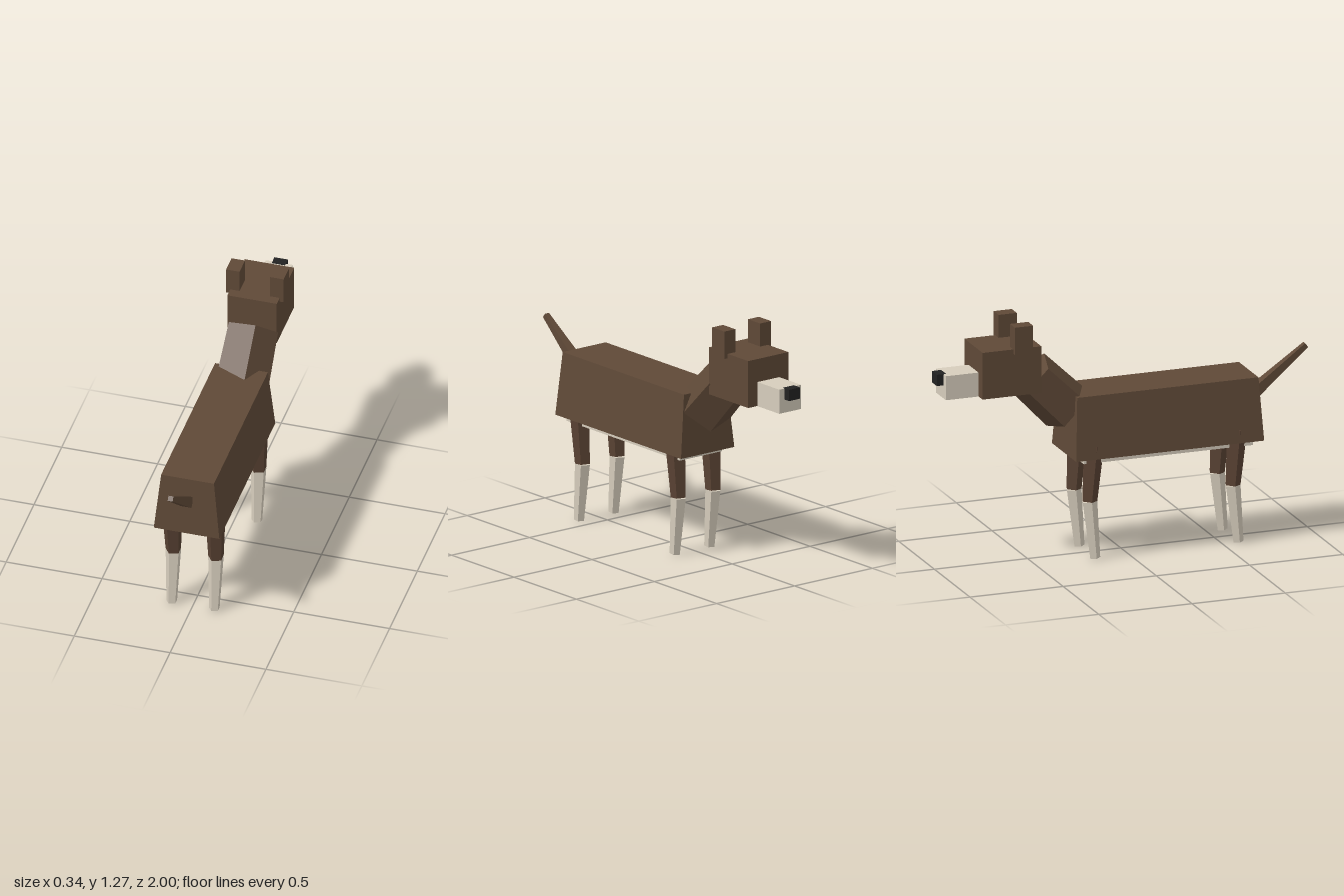
import * as THREE from 'three';

const paint = (name, color) => {
  const m = new THREE.MeshStandardMaterial({ color });
  m.name = name;
  return m;
};

export function createModel() {
  const model = new THREE.Group();
  model.name = 'dog';
  const fur = paint('brown fur', 0x5f4937);
  const legFur = paint('dark brown fur', 0x594233);
  const cream = paint('cream fur', 0xd6cdbc);
  const black = paint('black nose', 0x222222);

  const add = (name, geometry, material) => {
    const mesh = new THREE.Mesh(geometry, material);
    mesh.name = name;
    model.add(mesh);
    return mesh;
  };

  // Box given by its limits on each axis
  const box = (name, material, [x0, x1], [y0, y1], [z0, z1]) =>
    add(name, new THREE.BoxGeometry(x1 - x0, y1 - y0, z1 - z0), material)
      .position.set((x0 + x1) / 2, (y0 + y1) / 2, (z0 + z1) / 2);

  // Faceted tapered limb between two points
  const limb = (name, material, from, to, r0, r1, sides, turn) => {
    const a = new THREE.Vector3(...from), b = new THREE.Vector3(...to);
    const axis = b.clone().sub(a);
    const geometry = new THREE.CylinderGeometry(r1, r0, axis.length(), sides, 1, false, turn).toNonIndexed();
    geometry.computeVertexNormals();
    const mesh = add(name, geometry, material);
    mesh.position.copy(a).add(b).multiplyScalar(0.5);
    mesh.quaternion.setFromUnitVectors(new THREE.Vector3(0, 1, 0), axis.normalize());
  };

  // Body: a box narrowed toward the back line
  const body = new THREE.BoxGeometry(0.342, 0.325, 1.008).toNonIndexed();
  const p = body.attributes.position;
  for (let i = 0; i < p.count; i++) {
    if (p.getY(i) > 0) {
      p.setX(i, p.getX(i) * 0.806);
      p.setZ(i, p.getZ(i) * 0.964);
    }
  }
  body.computeVertexNormals();
  add('body', body, fur).position.set(0, 0.6975, 0.2);
  box('belly', cream, [-0.136, 0.136], [0.507, 0.57], [-0.25, 0.657]);

  // Neck and tail
  limb('neck', fur, [0, 0.767, -0.287], [0, 0.965, -0.485], 0.141, 0.133, 5, Math.PI / 10);
  limb('tail', fur, [0, 0.727, 0.694], [0, 0.958, 0.992], 0.04, 0.0185, 4, Math.PI / 4);

  // Head
  box('head', fur, [-0.129, 0.129], [0.905, 1.15], [-0.79, -0.475]);
  box('muzzle', cream, [-0.07, 0.07], [0.904, 1.03], [-0.965, -0.78]);
  box('nose', black, [-0.035, 0.035], [0.972, 1.031], [-1, -0.95]);

  for (const s of [-1, 1]) {
    const side = s > 0 ? 'left' : 'right';
    const x = [0.08 * s, 0.15 * s].sort((a, b) => a - b);
    box(side + 'Ear', fur, x, [1.127, 1.27], [-0.625, -0.527]);

    // Legs: knee bent slightly, pale from the knee down
    for (const [end, z] of [['rear', 0.586], ['front', -0.182]]) {
      const knee = [0.111 * s, 0.305, z - 0.03];
      limb(`${side}${end}UpperLeg`, legFur, knee, [0.114 * s, 0.6, z - 0.009], 0.041, 0.055, 5, -Math.PI / 2);
      limb(`${side}${end}LowerLeg`, cream, [0.111 * s, 0.003, z], knee, 0.028, 0.041, 5, -Math.PI / 2);
    }
  }
  return model;
}
